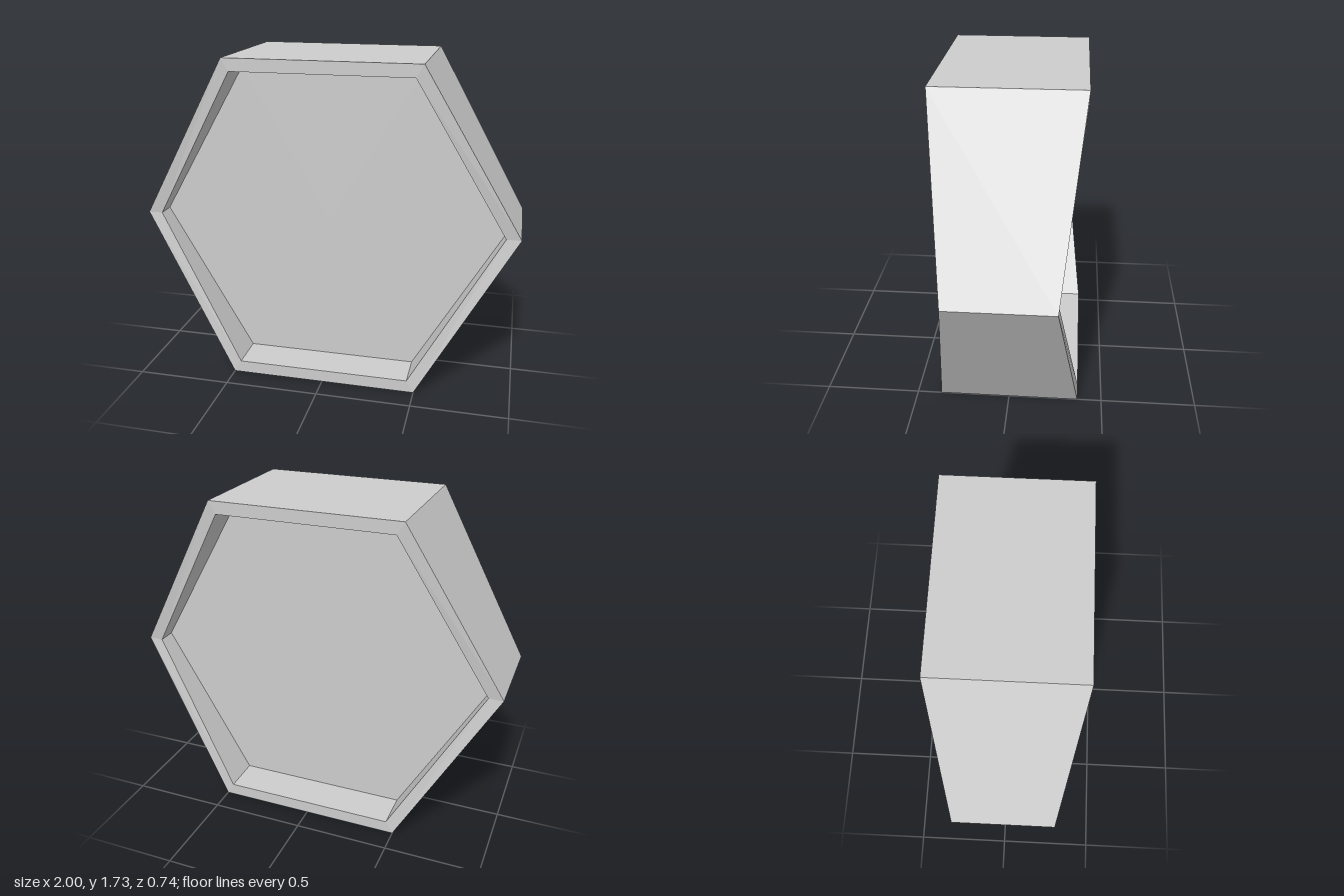
import * as THREE from 'three';

const SIDES = 6;
const MID = Math.sqrt(3) / 2; // height of the centre
const INNER = 0.924;          // radius of the recess
const FLOOR = 0.166;          // half thickness of the flat panel

// The rim is thinner at the left and right corners
const rimDepth = (i) => (i % 3 === 0 ? 0.264 : 0.371);

// Corner i of a hexagon ring
function corner(i, radius, z) {
  const a = ((i % SIDES) * Math.PI * 2) / SIDES;
  return [Math.cos(a) * radius, MID + Math.sin(a) * radius, z];
}

// Joins two rings with flat quads; each ring is a function from corner index to point
function band(ringA, ringB) {
  const pos = [];
  for (let i = 0; i < SIDES; i++) {
    const a = ringA(i), b = ringA(i + 1), c = ringB(i + 1), d = ringB(i);
    pos.push(...a, ...b, ...c, ...a, ...c, ...d);
  }
  const geo = new THREE.BufferGeometry();
  geo.setAttribute('position', new THREE.Float32BufferAttribute(pos, 3));
  geo.computeVertexNormals();
  return geo;
}

export function createModel() {
  const group = new THREE.Group();
  group.name = 'hexagonTile';
  const grey = new THREE.MeshStandardMaterial({ color: 0xcccccc });
  grey.name = 'light grey';

  const add = (name, geo, parent) => {
    const mesh = new THREE.Mesh(geo, grey);
    mesh.name = name;
    parent.add(mesh);
  };

  // Outer wall running from back to front
  add('outerWall', band(
    (i) => corner(i, 1, -rimDepth(i)),
    (i) => corner(i, 1, rimDepth(i)),
  ).scale(1, 1, 1), group);
  flip(group.children[0].geometry);

  // Rim, recess wall and panel, the same on the front and the back
  for (const side of ['front', 'back']) {
    const face = new THREE.Group();
    face.name = side + 'Face';
    const outer = (i) => corner(i, 1, rimDepth(i));
    const inner = (i) => corner(i, INNER, rimDepth(i));
    const floor = (i) => corner(i, INNER, FLOOR);
    add(side + 'Rim', band(outer, inner), face);
    add(side + 'RecessWall', band(inner, floor), face);
    const panel = new THREE.CircleGeometry(INNER, SIDES);
    panel.translate(0, MID, FLOOR);
    add(side + 'Panel', panel, face);
    if (side === 'back') face.rotation.y = Math.PI;
    group.add(face);
  }
  return group;
}

// Turns faces outward if the first one points at the centre
function flip(geo) {
  const p = geo.attributes.position, n = geo.attributes.normal;
  const out = p.getX(0) * n.getX(0) + (p.getY(0) - MID) * n.getY(0);
  if (out >= 0) return;
  const index = [];
  for (let i = 0; i < p.count; i += 3) index.push(i, i + 2, i + 1);
  geo.setIndex(index);
  geo.computeVertexNormals();
}
